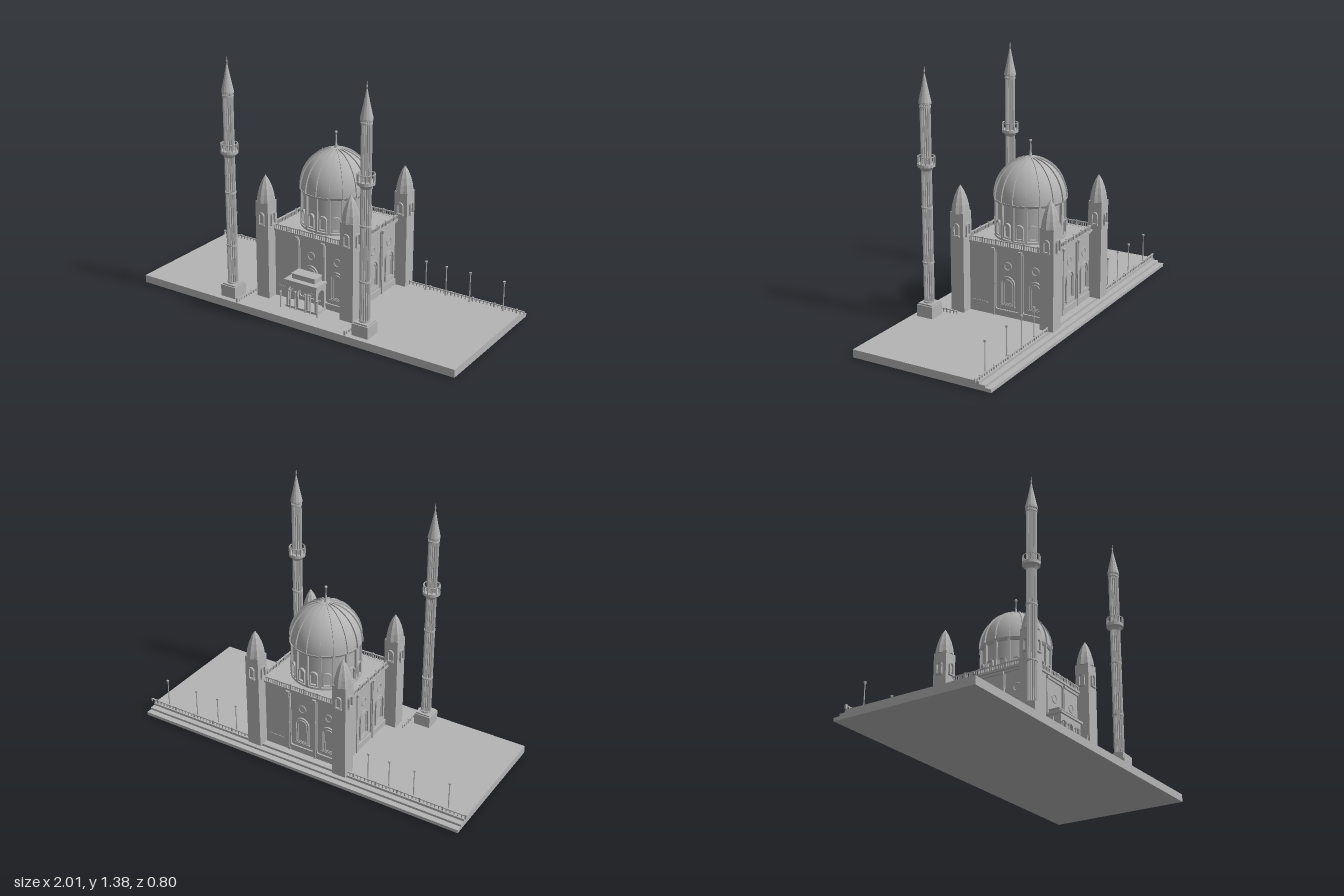
import * as THREE from 'three';
import { mergeGeometries } from 'three/addons/utils/BufferGeometryUtils.js';

const stone = new THREE.MeshStandardMaterial({ color: 0xb4b4b4 });
stone.name = 'stone grey';
const DECK = 0.043;

function add(parent, name, geo, x = 0, y = 0, z = 0) {
  const m = new THREE.Mesh(geo, stone);
  m.name = name;
  m.position.set(x, y, z);
  parent.add(m);
  return m;
}
function group(parent, name, x = 0, y = 0, z = 0, ry = 0) {
  const g = new THREE.Group();
  g.name = name;
  g.position.set(x, y, z);
  g.rotation.y = ry;
  parent.add(g);
  return g;
}
// box standing on height y
const boxGeo = (w, h, d, x = 0, y = 0, z = 0) => new THREE.BoxGeometry(w, h, d).translate(x, y + h / 2, z);
const box = (p, name, w, h, d, x, y, z) => add(p, name, boxGeo(w, h, d), x, y, z);
// cylinder standing on height y
const cylGeo = (rt, rb, h, n, x = 0, y = 0, z = 0) => new THREE.CylinderGeometry(rt, rb, h, n).translate(x, y + h / 2, z);
const lathe = (pts, n) => new THREE.LatheGeometry(pts.map(p => new THREE.Vector2(...p)), n);
function flat(geo) {
  const g = geo.toNonIndexed();
  g.computeVertexNormals();
  return g;
}
const extrude = (shape, depth) => new THREE.ExtrudeGeometry(shape, { depth, bevelEnabled: false, curveSegments: 10 });

// round-headed outline from y0 to y1
function arch(w, y0, y1, x = 0, Type = THREE.Shape) {
  const r = w / 2, s = new Type();
  s.moveTo(x - r, y0);
  s.lineTo(x + r, y0);
  s.lineTo(x + r, y1 - r);
  s.absarc(x, y1 - r, r, 0, Math.PI, false);
  s.lineTo(x - r, y0);
  return s;
}
function archFrame(w, y0, y1, t, depth) {
  const s = arch(w, y0, y1);
  s.holes.push(arch(w - 2 * t, y0 + t, y1 - t, 0, THREE.Path));
  return extrude(s, depth);
}
// rectangle with scooped corners
function panel(w, y0, y1, x, c) {
  const p = new THREE.Path(), a = x - w / 2, b = x + w / 2;
  p.moveTo(a + c, y0);
  p.lineTo(b - c, y0);
  p.quadraticCurveTo(b, y0, b, y0 + c);
  p.lineTo(b, y1 - c);
  p.quadraticCurveTo(b, y1, b - c, y1);
  p.lineTo(a + c, y1);
  p.quadraticCurveTo(a, y1, a, y1 - c);
  p.lineTo(a, y0 + c);
  p.quadraticCurveTo(a, y0, a + c, y0);
  return p;
}
// balustrade along x, centred, standing on y = 0
function railing(len, h, step) {
  const n = Math.round(len / step), parts = [boxGeo(len, 0.005, 0.008, 0, h - 0.005)];
  for (let i = 0; i <= n; i++) {
    const x = -len / 2 + (i * len) / n, big = i % 6 === 0;
    parts.push(boxGeo(big ? 0.009 : 0.005, big ? h + 0.004 : h, big ? 0.009 : 0.005, x));
  }
  return mergeGeometries(parts);
}

function terrace(root) {
  const g = group(root, 'terrace');
  box(g, 'platform', 1.975, DECK, 0.735, -0.008, 0, 0.0325);
  box(g, 'upperStep', 1.975, 0.03, 0.032, -0.008, 0, -0.351);
  box(g, 'lowerStep', 1.975, 0.018, 0.033, -0.008, 0, -0.3835);
  for (const s of [-1, 1]) {
    const c = s * 0.6525;
    add(g, 'rearBalustrade', railing(0.695, 0.02, 0.022), c, DECK, -0.325);
    add(g, 'sideRail', railing(0.19, 0.02, 0.022), s * 0.345 - 0.005, DECK, 0.295).rotation.y = Math.PI / 2;
    for (const x of [0.42, 0.545, 0.69, 0.89]) {
      const lamp = group(g, 'lampPost', s * x - 0.005, DECK, -0.31);
      add(lamp, 'lampPole', cylGeo(0.0025, 0.0035, 0.16, 6));
      add(lamp, 'lampFoot', cylGeo(0.005, 0.007, 0.014, 6));
      add(lamp, 'lampHead', cylGeo(0.008, 0.005, 0.013, 8, 0, 0.158));
    }
  }
}

function wall(parent, angle) {
  const g = group(parent, 'wall', 0, 0, 0, angle);
  const s = new THREE.Shape([[-0.235, DECK], [0.235, DECK], [0.235, 0.43], [-0.235, 0.43]].map(p => new THREE.Vector2(...p)));
  const bays = [-0.165, 0, 0.165];
  bays.forEach(x => s.holes.push(panel(0.142, 0.078, 0.412, x, 0.012)));
  add(g, 'wallFace', extrude(s, 0.01), 0, 0, 0.235);
  for (const x of bays) {
    add(g, 'windowFrame', archFrame(0.086, 0.105, 0.268, 0.008, 0.011), x, 0, 0.234);
    add(g, 'windowCasing', archFrame(0.058, 0.112, 0.25, 0.006, 0.007), x, 0, 0.234);
    box(g, 'windowSill', 0.092, 0.008, 0.016, x, 0.1, 0.24);
    add(g, 'roundWindow', new THREE.TorusGeometry(0.021, 0.004, 6, 20), x, 0.322, 0.236);
  }
  for (const x of [-0.0825, 0.0825]) {
    box(g, 'pilaster', 0.013, 0.37, 0.006, x, DECK, 0.247);
    box(g, 'pilasterCapital', 0.02, 0.016, 0.014, x, 0.402, 0.25);
  }
  box(g, 'cornice', 0.5, 0.012, 0.02, 0, 0.425, 0.245);
  add(g, 'roofBalustrade', railing(0.46, 0.026, 0.014), 0, 0.437, 0.249);
}

function tower(parent, sx, sz) {
  const g = group(parent, 'cornerTower', sx * 0.268, 0, sz * 0.268);
  box(g, 'towerShaft', 0.08, 0.55, 0.08, 0, DECK, 0);
  for (let i = 0; i < 4; i++) {
    const f = group(g, 'towerWindow', 0, 0, 0, i * Math.PI / 2);
    add(f, 'towerWindowFrame', archFrame(0.036, 0.465, 0.535, 0.006, 0.011), 0, 0, 0.039);
    box(f, 'towerWindowSill', 0.042, 0.006, 0.014, 0, 0.462, 0.045);
  }
  // pleated pointed roof
  const roof = lathe([[0, 0.588], [0.05, 0.588], [0.049, 0.6], [0.044, 0.633], [0.034, 0.67], [0.02, 0.705], [0.001, 0.736]], 16);
  const p = roof.attributes.position;
  for (let i = 0; i < p.count; i++) {
    const k = Math.round(Math.atan2(p.getX(i), p.getZ(i)) / (Math.PI / 8));
    const f = k % 2 ? 0.88 : 1;
    p.setXYZ(i, p.getX(i) * f, p.getY(i), p.getZ(i) * f);
  }
  add(g, 'towerRoof', flat(roof));
}

function dome(parent) {
  const g = group(parent, 'dome');
  add(g, 'drum', cylGeo(0.18, 0.18, 0.21, 48, 0, 0.43));
  add(g, 'drumBase', cylGeo(0.192, 0.192, 0.018, 48, 0, 0.43));
  add(g, 'drumCornice', cylGeo(0.195, 0.188, 0.014, 48, 0, 0.63));
  const arc = (r, h, n = 14) => Array.from({ length: n + 1 }, (_, i) => {
    const a = (i / n) * Math.PI / 2;
    return [Math.max(r * Math.cos(a), 0.0001), 0.642 + h * Math.sin(a)];
  });
  add(g, 'domeShell', lathe(arc(0.191, 0.215), 48));
  const ribShape = new THREE.Shape([...arc(0.199, 0.221), ...arc(0.186, 0.21).reverse()].map(p => new THREE.Vector2(...p)));
  const ribGeo = extrude(ribShape, 0.007).translate(0, 0, -0.0035);
  for (let i = 0; i < 16; i++) {
    const a = (i * Math.PI) / 8;
    add(g, 'domeRib', ribGeo).rotation.y = a;
    const bay = group(g, 'drumBay', 0, 0, 0, a);
    box(bay, 'drumPilaster', 0.014, 0.2, 0.016, 0, 0.44, 0.184);
    const win = group(g, 'drumWindow', 0, 0, 0, a + Math.PI / 16);
    add(win, 'drumWindowFrame', archFrame(0.046, 0.455, 0.538, 0.007, 0.018), 0, 0, 0.174);
  }
  add(g, 'finial', lathe([[0.016, 0.855], [0.008, 0.868], [0.004, 0.9], [0.003, 0.945]], 12));
  add(g, 'finialBall', new THREE.SphereGeometry(0.008, 12, 8), 0, 0.948, 0);
}

function portico(parent) {
  const g = group(parent, 'portico', 0, 0, 0.25);
  const face = (w, n, name, x, z, ry) => {
    const s = new THREE.Shape([[-w / 2, DECK], [w / 2, DECK], [w / 2, 0.195], [-w / 2, 0.195]].map(p => new THREE.Vector2(...p)));
    const bay = w / n;
    for (let i = 0; i < n; i++) s.holes.push(arch(bay * 0.7, DECK + 0.012, 0.165, -w / 2 + bay * (i + 0.5), THREE.Path));
    add(g, name, extrude(s, 0.012), x, 0, z).rotation.y = ry;
  };
  face(0.19, 3, 'porticoFront', 0, 0.07, 0);
  face(0.08, 1, 'porticoSide', 0.083, 0.035, Math.PI / 2);
  face(0.08, 1, 'porticoSide', -0.083, 0.035, -Math.PI / 2);
  box(g, 'porticoFloor', 0.2, 0.012, 0.09, 0, DECK, 0.04);
  box(g, 'porticoCornice', 0.21, 0.012, 0.1, 0, 0.193, 0.042);
  box(g, 'porticoRoof', 0.145, 0.024, 0.065, 0, 0.205, 0.028);
  box(g, 'porticoRoofCap', 0.155, 0.006, 0.072, 0, 0.229, 0.028);
  for (const s of [-1, 1]) for (const x of [0.033, 0.064, 0.118]) {
    const h = x > 0.1 ? 0.085 : 0.1;
    add(g, 'porchColumn', cylGeo(0.004, 0.004, h, 8, 0, DECK), s * x, 0, x > 0.1 ? 0.105 : 0.092);
    box(g, 'porchCapital', 0.011, 0.008, 0.011, s * x, DECK + h, x > 0.1 ? 0.105 : 0.092);
  }
}

function minaret(root, x) {
  const g = group(root, 'minaret', x, 0, 0.322);
  box(g, 'minaretBase', 0.095, 0.066, 0.095, 0, DECK, 0);
  box(g, 'minaretPlinth', 0.082, 0.01, 0.082, 0, 0.107, 0);
  // fluted shaft
  const flutes = new THREE.Shape(Array.from({ length: 32 }, (_, i) => {
    const r = i % 2 ? 0.0235 : 0.0285, a = (i * Math.PI) / 16;
    return new THREE.Vector2(r * Math.cos(a), r * Math.sin(a));
  }));
  add(g, 'minaretShaft', extrude(flutes, 1.073).rotateX(-Math.PI / 2), 0, 0.115, 0);
  for (const y of [0.118, 0.335, 0.635, 1.165]) add(g, 'shaftBand', cylGeo(0.031, 0.031, 0.009, 16, 0, y));
  // balcony
  add(g, 'balconyBowl', flat(lathe([[0.026, 0.835], [0.036, 0.85], [0.047, 0.858], [0.047, 0.874], [0.026, 0.874]], 16)));
  add(g, 'balconyRail', new THREE.TorusGeometry(0.044, 0.003, 5, 16).rotateX(Math.PI / 2), 0, 0.911, 0);
  for (let i = 0; i < 12; i++) {
    const a = (i * Math.PI) / 6;
    box(g, 'balconyPost', 0.005, 0.042, 0.005, 0.044 * Math.cos(a), 0.872, 0.044 * Math.sin(a));
  }
  // spire
  add(g, 'spire', flat(lathe([[0, 1.184], [0.033, 1.184], [0.033, 1.194], [0.018, 1.262], [0.003, 1.338]], 12)));
  add(g, 'spireTip', lathe([[0.002, 1.33], [0.0025, 1.345], [0.005, 1.353], [0.002, 1.36], [0.0005, 1.377]], 8));
}

export function createModel() {
  const root = new THREE.Group();
  root.name = 'domedBuilding';
  terrace(root);
  const hall = group(root, 'hall', -0.005, 0, -0.05);
  box(hall, 'hallCore', 0.472, 0.395, 0.472, 0, DECK - 0.002, 0);
  for (let i = 0; i < 4; i++) wall(hall, (i * Math.PI) / 2);
  for (const sx of [-1, 1]) for (const sz of [-1, 1]) tower(hall, sx, sz);
  dome(hall);
  portico(hall);
  for (const x of [-0.427, 0.417]) minaret(root, x);
  return root;
}
